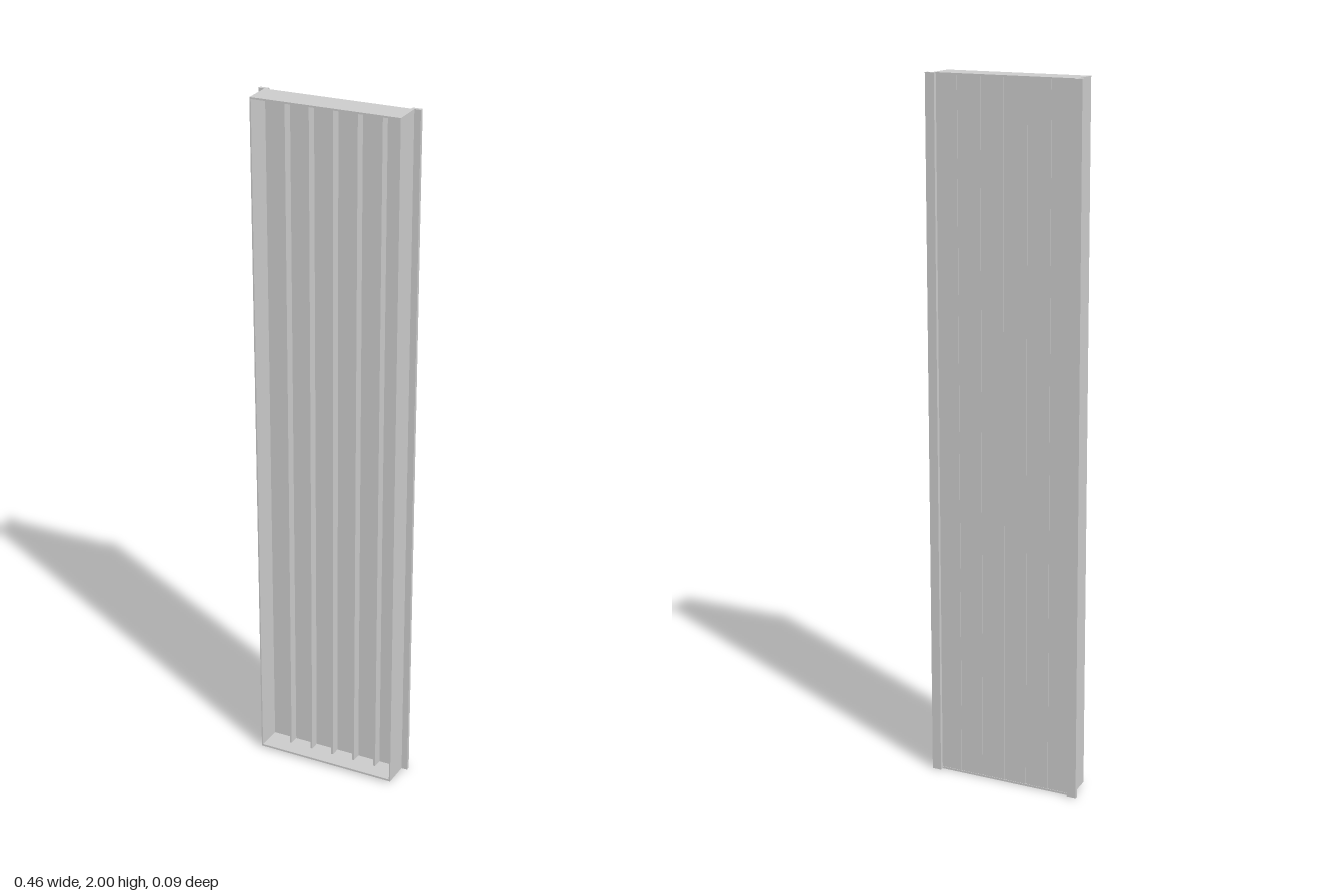
import * as THREE from 'three';

const material = new THREE.MeshStandardMaterial({ color: 0xcccccc, flatShading: true });

// Box given by its minimum and maximum corners
function box(name, x0, x1, y0, y1, z0, z1) {
  const geometry = new THREE.BoxGeometry(x1 - x0, y1 - y0, z1 - z0);
  const mesh = new THREE.Mesh(geometry, material);
  mesh.position.set((x0 + x1) / 2, (y0 + y1) / 2, (z0 + z1) / 2);
  mesh.name = name;
  return mesh;
}

// Side profile of [z, y] points, extruded along x and centred on xMid
function profile(name, points, width, xMid) {
  const shape = new THREE.Shape(points.map(([z, y]) => new THREE.Vector2(z, y)));
  const geometry = new THREE.ExtrudeGeometry(shape, { depth: width, bevelEnabled: false });
  geometry.translate(0, 0, -width / 2);
  geometry.rotateY(-Math.PI / 2);
  const mesh = new THREE.Mesh(geometry, material);
  mesh.position.x = xMid;
  mesh.name = name;
  return mesh;
}

export function createModel() {
  const model = new THREE.Group();
  model.name = 'slattedPanel';

  const back = -0.037, front = 0.047;
  const inner = 0.206, outer = 0.21;
  const rise = 0.007; // the floor climbs slightly towards the open front

  // Side walls and the mounting flanges behind them
  for (const side of [-1, 1]) {
    const label = side > 0 ? 'left' : 'right';
    model.add(profile(label + 'Wall',
      [[back, 0], [front, rise], [front, 2], [back, 2]],
      outer - inner, side * (inner + outer) / 2));
    const xs = [side * 0.201, side * 0.228].sort((a, b) => a - b);
    model.add(box(label + 'Flange', xs[0], xs[1], 0, 2, -0.048, back));
  }

  // Top plate and sloped floor plate
  model.add(box('topPlate', -inner, inner, 1.995, 2, back, front));
  model.add(profile('floorPlate',
    [[back, 0], [front, rise], [front, rise + 0.006], [back, 0.006]], 2 * inner, 0));

  // Back slats, with a forward rib along every joint
  const count = 6, pitch = 2 * inner / count, gap = 0.004;
  for (let i = 0; i < count; i++) {
    const x = -inner + i * pitch;
    model.add(box('slat', x + (i ? gap / 2 : 0), x + pitch - (i < count - 1 ? gap / 2 : 0),
      0.006, 1.995, back + 0.001, back + 0.005));
    if (i) model.add(box('rib', x - 0.003, x + 0.003, 0.006, 1.995, back + 0.003, back + 0.036));
  }

  return model;
}
